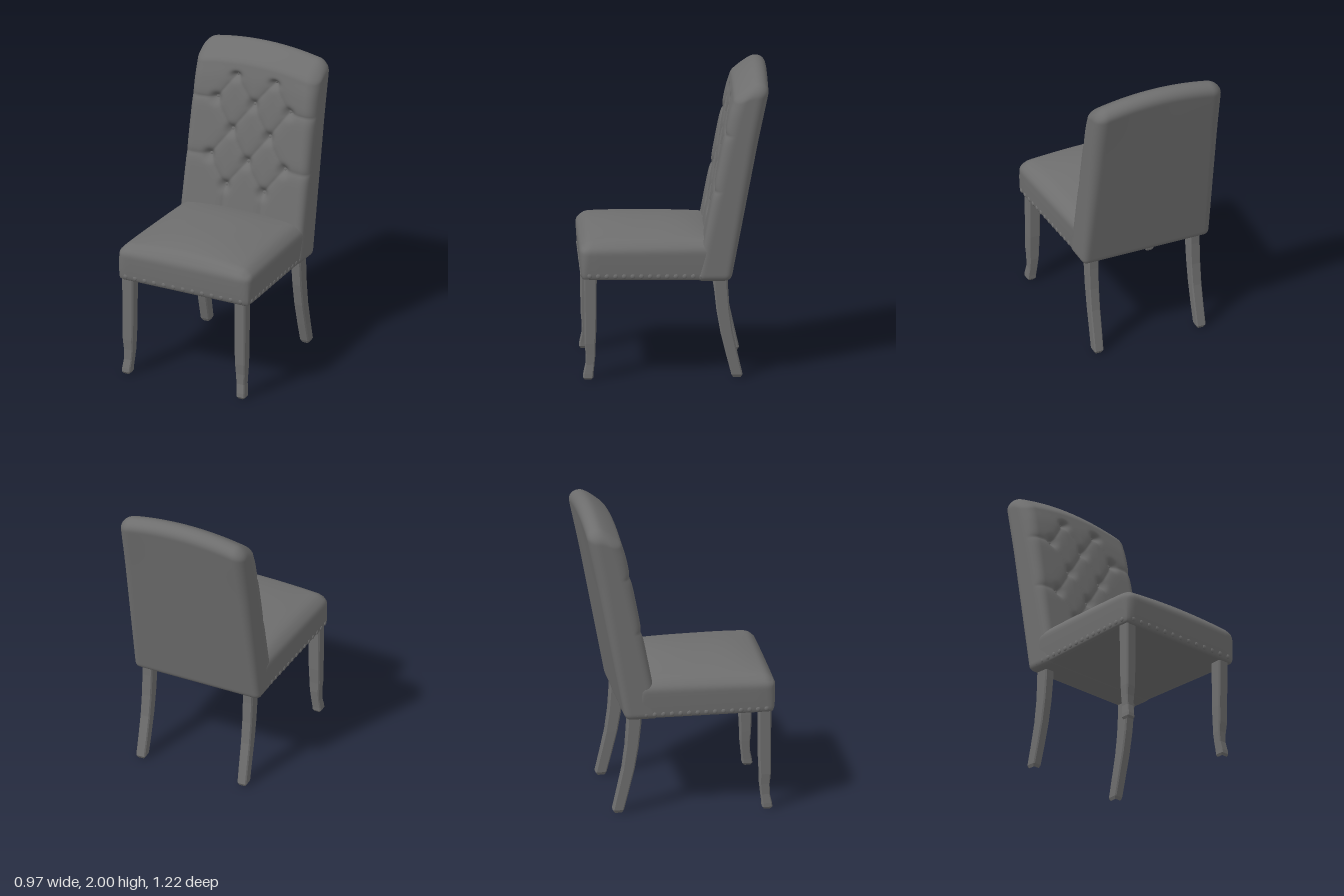
import * as THREE from 'three';
import { mergeVertices } from 'three/addons/utils/BufferGeometryUtils.js';

const material = new THREE.MeshStandardMaterial({ color: 0x6e6e6e });
const { clamp, lerp, smoothstep } = THREE.MathUtils;

function add(parent, name, geometry) {
  const mesh = new THREE.Mesh(geometry, material);
  mesh.name = name;
  parent.add(mesh);
  return mesh;
}

function addGroup(parent, name) {
  const group = new THREE.Group();
  group.name = name;
  parent.add(group);
  return group;
}

// Padded block: a dense box with rounded edges (radius rLow at the bottom,
// rHigh at the top), whose vertices are then moved by warp(point).
function cushion(size, segments, rLow, rHigh, warp) {
  let g = new THREE.BoxGeometry(...size, ...segments);
  g.deleteAttribute('normal');
  g.deleteAttribute('uv');
  g = mergeVertices(g, 1e-5);
  const half = new THREE.Vector3(...size).multiplyScalar(0.5);
  const pos = g.attributes.position;
  const p = new THREE.Vector3(), core = new THREE.Vector3(), lim = new THREE.Vector3();
  for (let i = 0; i < pos.count; i++) {
    p.fromBufferAttribute(pos, i);
    const r = lerp(rLow, rHigh, p.y / size[1] + 0.5);
    lim.copy(half).subScalar(r);
    core.copy(p).clamp(lim.clone().negate(), lim);
    p.sub(core).setLength(r).add(core);
    warp(p);
    pos.setXYZ(i, p.x, p.y, p.z);
  }
  g.computeVertexNormals();
  return g;
}

// Leg: chamfered square sections [y, x, z, halfX, halfZ], listed from the top down.
function legGeometry(sections, side, shift) {
  const c = 0.78;
  const outline = [[1, c], [c, 1], [-c, 1], [-1, c], [-1, -c], [-c, -1], [c, -1], [1, -c]];
  const pts = [], index = [], n = outline.length;
  for (const [y, x, z, hx, hz] of sections)
    for (const [u, v] of outline) pts.push(side * x + shift + u * hx, y, z + v * hz);
  for (let s = 0; s < sections.length - 1; s++)
    for (let k = 0; k < n; k++) {
      const a = s * n + k, b = s * n + (k + 1) % n;
      index.push(a, a + n, b, b, a + n, b + n);
    }
  // End caps
  const last = (sections.length - 1) * n;
  for (let k = 1; k < n - 1; k++) {
    index.push(0, k + 1, k);
    index.push(last, last + k, last + k + 1);
  }
  // The outline runs clockwise seen from above, so every face is flipped.
  index.reverse();
  const indexed = new THREE.BufferGeometry();
  indexed.setAttribute('position', new THREE.Float32BufferAttribute(pts, 3));
  indexed.setIndex(index);
  const g = indexed.toNonIndexed();
  g.computeVertexNormals();
  return g;
}

// Tufting: button positions on the backrest and the creases joining them
const buttons = [
  [-0.13, 1.81], [0.15, 1.81], [-0.26, 1.63], [0.01, 1.63], [0.27, 1.63], [-0.13, 1.44],
  [0.14, 1.44], [-0.27, 1.25], [0, 1.25], [0.27, 1.25], [-0.14, 1.07], [0.135, 1.07],
];
const creases = [];
buttons.forEach(([x, y], i) => {
  buttons.slice(i + 1).forEach(([u, v]) => {
    if (y - v > 0.1 && y - v < 0.25 && Math.abs(x - u) < 0.2) creases.push([x, y, u, v]);
  });
  if (Math.abs(x) > 0.2) creases.push([x, y, Math.sign(x) * 0.5, y - 0.01]);
  if (y < 1.1) creases.push([x, y, x, 0.85]);
});

function creaseDistance(x, y) {
  let best = 1;
  for (const [ax, ay, bx, by] of creases) {
    const dx = bx - ax, dy = by - ay;
    const t = clamp(((x - ax) * dx + (y - ay) * dy) / (dx * dx + dy * dy), 0, 1);
    best = Math.min(best, Math.hypot(x - ax - t * dx, y - ay - t * dy));
  }
  return best;
}

function tuft(x, y) {
  const near = Math.min(...buttons.map(([u, v]) => Math.hypot(x - u, y - v)));
  const fold = Math.exp(-creaseDistance(x, y) / 0.025);
  return 0.007 - 0.013 * fold - 0.036 * Math.exp(-((near / 0.035) ** 2));
}

const lean = y => -0.315 - 0.19 * (y - 0.95);
const seatHalfWidth = z => 0.452 + 0.033 * clamp((z + 0.2) / 0.7, -0.3, 1);

export function createModel() {
  const chair = new THREE.Group();
  chair.name = 'chair';

  // Tufted backrest, leaning backwards, with an arched top that rolls forward
  add(chair, 'backrest', cushion([0.9, 1.35, 0.22], [90, 130, 20], 0.04, 0.08, p => {
    const front = smoothstep(p.z, 0.03, 0.1);
    const y = p.y + 1.325;
    const rise = smoothstep(y, 1.5, 2);
    const roll = 0.055 * smoothstep(y, 1.75, 2) * smoothstep(p.z, -0.03, 0.1);
    p.z += lean(y) + front * tuft(p.x, y);
    p.y = y - 0.055 * rise * (p.x / 0.45) ** 2 - roll;
    p.x += 0.005 + 0.005 * (y - 0.95);
  }));

  // Buttons sunk into the tufts
  const buttonGroup = addGroup(chair, 'buttons');
  const buttonShape = new THREE.SphereGeometry(0.018, 14, 10);
  for (const [x, y] of buttons) {
    const b = add(buttonGroup, 'button', buttonShape);
    b.scale.z = 0.5;
    b.position.set(x + 0.007, y, lean(y) + 0.067);
    b.rotation.x = -0.19;
  }

  // Crowned seat, tapering towards the back, with softly bulging sides
  add(chair, 'seat', cushion([2, 0.24, 0.92], [60, 16, 60], 0.025, 0.08, p => {
    // Keep the edge radius true to size while narrowing the block.
    const edge = 1 - Math.abs(p.x);
    const z = p.z + 0.155;
    const v = p.y / 0.24 + 0.5;
    const w = seatHalfWidth(z) - 0.012 * (1 - v) ** 2;
    const x = Math.sign(p.x) * (edge < 0.1 ? w - edge : (w - 0.1) * Math.abs(p.x) / 0.9);
    const crown = (1 - (x / w) ** 2) * (1 - Math.abs((z - 0.17) / 0.47) ** 3);
    const sag = -0.02 * (0.615 - z) * (1 - v);
    p.set(x, p.y + 0.79 + v * v * 0.062 * Math.max(0, crown) + sag, z - 0.014 * (1 - v) ** 2);
  }));

  // Low nail heads along the lower edge of the front and both sides
  const nails = addGroup(chair, 'nailHeads');
  const nailShape = new THREE.SphereGeometry(0.016, 10, 8);
  for (let i = 0; i < 13; i++) {
    const nail = add(nails, 'nailHead', nailShape);
    nail.position.set(-0.42 + i * 0.07, 0.703, 0.602);
    nail.scale.z = 0.5;
  }
  for (const side of [1, -1])
    for (let i = 0; i < 16; i++) {
      const z = 0.55 - i * 0.056;
      const nail = add(nails, 'nailHead', nailShape);
      nail.position.set(side * (seatHalfWidth(z) - 0.01), 0.7 - i * 0.001, z);
      nail.scale.x = 0.5;
    }

  // Legs: curved feet at the front, swept back at the rear
  const frontLeg = [
    [0.72, 0.41, 0.543, 0.041, 0.041], [0.35, 0.409, 0.543, 0.039, 0.039],
    [0.24, 0.41, 0.545, 0.037, 0.036], [0.17, 0.409, 0.542, 0.033, 0.032],
    [0.1, 0.411, 0.546, 0.029, 0.029], [0.04, 0.417, 0.556, 0.03, 0.032],
    [0.015, 0.418, 0.558, 0.03, 0.033], [0, 0.418, 0.558, 0.02, 0.022],
  ];
  const backLeg = [
    [0.72, 0.36, -0.3, 0.036, 0.048], [0.6, 0.36, -0.303, 0.036, 0.046],
    [0.45, 0.36, -0.316, 0.035, 0.043], [0.3, 0.36, -0.339, 0.034, 0.04],
    [0.15, 0.361, -0.374, 0.033, 0.038], [0.02, 0.363, -0.406, 0.032, 0.036],
    [0, 0.363, -0.406, 0.022, 0.024],
  ];
  for (const [side, label] of [[1, 'left'], [-1, 'right']]) {
    add(chair, label + 'FrontLeg', legGeometry(frontLeg, side, -0.008));
    add(chair, label + 'BackLeg', legGeometry(backLeg, side, 0.01));
  }
  return chair;
}
